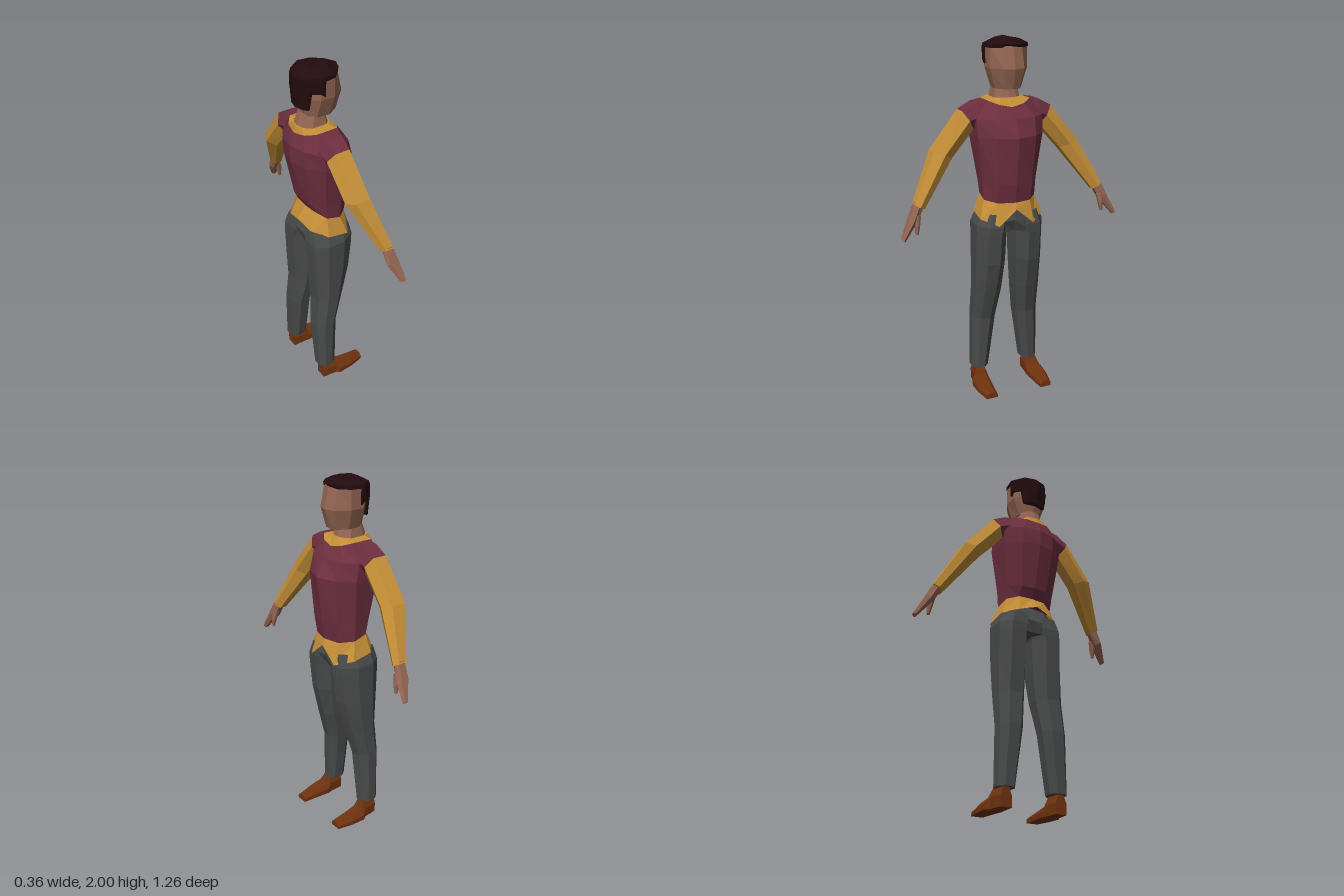
import * as THREE from 'three';

const mat = (name, color, side = THREE.FrontSide) => {
  const m = new THREE.MeshStandardMaterial({ color, flatShading: true, side });
  m.name = name;
  return m;
};

// Skin a list of equal-length rings; faces are turned outward by signed volume.
function loft(rings, caps = true) {
  const tris = [], n = rings[0].length;
  const mid = r => r.reduce((a, p) => a.map((v, i) => v + p[i] / n), [0, 0, 0]);
  for (let i = 0; i < rings.length - 1; i++) {
    for (let j = 0; j < n; j++) {
      const k = (j + 1) % n, a = rings[i], b = rings[i + 1];
      tris.push([a[j], a[k], b[k]], [a[j], b[k], b[j]]);
    }
  }
  const first = rings[0], last = rings[rings.length - 1], c0 = mid(first), c1 = mid(last);
  const capTris = [];
  for (let j = 0; j < n; j++) {
    const k = (j + 1) % n;
    capTris.push([c0, first[k], first[j]], [c1, last[j], last[k]]);
  }
  const V = p => new THREE.Vector3(...p);
  const volume = [...tris, ...capTris].reduce((s, t) => s + V(t[0]).dot(V(t[1]).cross(V(t[2]))), 0);
  const all = caps ? [...tris, ...capTris] : tris;
  const pos = all.flatMap(t => (volume < 0 ? [t[0], t[2], t[1]] : t)).flat();
  const g = new THREE.BufferGeometry();
  g.setAttribute('position', new THREE.Float32BufferAttribute(pos, 3));
  g.computeVertexNormals();
  return g;
}

// Symmetric ring from half an outline [x, z, ownY], front centre to back centre.
function halfRing(y, half) {
  const pts = half.map(([x, z, py]) => [x, py ?? y, z]);
  return [...pts, ...pts.slice(1, -1).reverse().map(([x, py, z]) => [x, py, -z])];
}

// Eight-sided horizontal leg section.
function legRing([y, x0, x1, z0, z1]) {
  const at = (u, v) => [x0 + (x1 - x0) * u, y, z0 + (z1 - z0) * v];
  return [at(0.3, 0), at(0.75, 0.05), at(1, 0.35), at(0.95, 0.75), at(0.65, 1), at(0.25, 1), at(0, 0.75), at(0, 0.25)];
}

// Six-sided arm section between an upper and a lower point [z, y].
function armRing([[tz, ty], [bz, by], x0, x1]) {
  const at = (u, v) => [x0 + (x1 - x0) * u, by + (ty - by) * v, bz + (tz - bz) * v];
  return [at(0.2, 1), at(0.8, 1), at(1, 0.5), at(0.75, 0), at(0.25, 0), at(0, 0.5)];
}

export function createModel() {
  const model = new THREE.Group();
  const skin = mat('skin', 0x936552);
  const hair = mat('hair', 0x220b0e);
  const vest = mat('maroon vest', 0x6e2f40);
  const shirt = mat('gold shirt', 0xc48e37, THREE.DoubleSide);
  const trousers = mat('dark grey trousers', 0x494a4a);
  const leather = mat('brown leather', 0x70330f);

  const add = (name, rings, material, caps) => {
    const mesh = new THREE.Mesh(loft(rings, caps), material);
    mesh.name = name;
    model.add(mesh);
  };
  const addPair = (name, rings, material) => {
    add('left' + name, rings.map(r => r.map(([x, y, z]) => [x, y, -z])), material);
    add('right' + name, rings, material);
  };

  // Torso: vest, shirt hem and collar
  const waist = halfRing(1.13, [[0.118, 0], [0.095, 0.095, 1.13], [0.03, 0.15, 1.14], [-0.05, 0.145, 1.16], [-0.085, 0.08, 1.18], [-0.092, 0, 1.18]]);
  const neckline = halfRing(1.65, [[0.07, 0, 1.64], [0.06, 0.07, 1.655], [0.025, 0.12, 1.675], [-0.1, 0.12, 1.675], [-0.14, 0.07, 1.66], [-0.155, 0, 1.65]]);
  add('vest', [
    waist,
    halfRing(1.235, [[0.135, 0], [0.11, 0.1], [0.03, 0.157], [-0.06, 0.152], [-0.11, 0.08], [-0.12, 0]]),
    halfRing(1.49, [[0.165, 0], [0.125, 0.115], [0.05, 0.187], [-0.09, 0.187], [-0.155, 0.1], [-0.178, 0]]),
    halfRing(1.585, [[0.115, 0], [0.095, 0.12], [0.035, 0.19], [-0.1, 0.19], [-0.16, 0.1], [-0.18, 0]]),
    neckline,
  ], vest);
  add('shirtHem', [
    waist,
    halfRing(1.05, [[0.133, 0, 1.095], [0.133, 0.1, 1.01], [0.06, 0.182, 1.04], [-0.06, 0.18, 1.06], [-0.125, 0.1, 1.08], [-0.142, 0, 1.11]]),
  ], shirt, false);
  add('collar', [
    neckline,
    halfRing(1.685, [[0.038, 0], [0.03, 0.05], [0.0, 0.08], [-0.09, 0.08], [-0.135, 0.05], [-0.145, 0]]),
  ], shirt);

  // Neck and head
  add('neck', [
    halfRing(1.67, [[0.035, 0], [0.025, 0.045], [0, 0.075], [-0.09, 0.075], [-0.13, 0.045], [-0.14, 0]]),
    halfRing(1.76, [[0.0, 0], [-0.005, 0.035], [-0.02, 0.06], [-0.07, 0.06], [-0.1, 0.035], [-0.105, 0]]),
  ], skin);
  add('head', [
    halfRing(1.735, [[0.078, 0], [0.07, 0.04], [0.01, 0.075], [-0.06, 0.07], [-0.1, 0.04], [-0.105, 0]]),
    halfRing(1.84, [[0.11, 0], [0.092, 0.058], [0.02, 0.105], [-0.06, 0.105], [-0.11, 0.06], [-0.125, 0]]),
    halfRing(1.955, [[0.085, 0], [0.068, 0.055], [0.02, 0.105], [-0.06, 0.11], [-0.11, 0.06], [-0.125, 0]]),
  ], skin);

  // Hair: crown, sides and nape
  add('hairCrown', [
    halfRing(1.945, [[0.075, 0], [0.069, 0.058], [0.02, 0.11], [-0.05, 0.121], [-0.128, 0.07], [-0.152, 0]]),
    halfRing(1.965, [[0.1, 0], [0.073, 0.058], [0.02, 0.108], [-0.05, 0.119], [-0.122, 0.068], [-0.14, 0]]),
    halfRing(2.0, [[0.03, 0, 1.995], [0.02, 0.035, 1.99], [0, 0.07, 1.985], [-0.045, 0.075, 1.985], [-0.08, 0.04, 1.99], [-0.06, 0]]),
  ], hair);
  add('hairSides', [
    halfRing(1.95, [[-0.04, 0], [-0.04, 0.116], [-0.06, 0.12], [-0.128, 0.07], [-0.152, 0]]),
    halfRing(1.88, [[-0.04, 0, 1.86], [-0.04, 0.115, 1.86], [-0.065, 0.115], [-0.13, 0.07], [-0.155, 0]]),
  ], hair);
  add('hairNape', [
    halfRing(1.9, [[-0.095, 0], [-0.1, 0.09], [-0.11, 0.09], [-0.13, 0.07], [-0.154, 0]]),
    halfRing(1.79, [[-0.095, 0], [-0.105, 0.07], [-0.115, 0.07], [-0.13, 0.055], [-0.145, 0]]),
  ], hair);

  // Arms: vest shoulder, sleeve, hand and thumb
  const shoulder = [[0.255, 1.625], [0.19, 1.525], -0.11, 0.03];
  addPair('Shoulder', [
    [[0.1, 1.677], [0.12, 1.53], -0.12, 0.045],
    [[0.18, 1.665], [0.15, 1.53], -0.115, 0.04],
    shoulder,
  ].map(armRing), vest);
  addPair('Sleeve', [
    shoulder,
    [[0.42, 1.42], [0.315, 1.385], -0.1, 0.04],
    [[0.55, 1.17], [0.495, 1.14], 0.012, 0.088],
  ].map(armRing), shirt);
  addPair('Hand', [
    [[0.545, 1.18], [0.5, 1.15], 0.025, 0.08],
    [[0.582, 1.1], [0.54, 1.08], 0.025, 0.1],
    [[0.632, 1.0], [0.615, 0.985], 0.075, 0.11],
  ].map(armRing), skin);
  addPair('Thumb', [
    [[0.555, 1.12], [0.52, 1.11], 0.055, 0.09],
    [[0.555, 1.06], [0.53, 1.06], 0.065, 0.1],
    [[0.555, 1.015], [0.54, 1.012], 0.08, 0.095],
  ].map(armRing), skin);

  // Trousers
  add('trouserSeat', [
    halfRing(0.965, [[0.09, 0], [0.115, 0.08], [0.04, 0.15], [-0.06, 0.15], [-0.12, 0.1], [-0.11, 0]]),
    halfRing(1.03, [[0.115, 0], [0.12, 0.08], [0.04, 0.165], [-0.06, 0.165], [-0.122, 0.09], [-0.125, 0]]),
    halfRing(1.12, [[0.112, 0], [0.09, 0.08], [0.02, 0.14], [-0.05, 0.135], [-0.08, 0.08], [-0.09, 0]]),
  ], trousers);
  addPair('TrouserLeg', [
    [1.07, -0.12, 0.115, 0.01, 0.165],
    [1.0, -0.132, 0.127, 0.005, 0.195],
    [0.95, -0.132, 0.123, 0.02, 0.195],
    [0.78, -0.125, 0.105, 0.025, 0.195],
    [0.6, -0.115, 0.06, 0.037, 0.196],
    [0.42, -0.13, 0.01, 0.06, 0.2],
    [0.1, -0.12, -0.005, 0.105, 0.205],
  ].map(legRing), trousers);

  // Shoes, as upright sections from heel to toe: [x, height, inner z, outer z]
  addPair('Shoe', [
    [-0.1, 0.105, 0.13, 0.195],
    [-0.015, 0.105, 0.125, 0.205],
    [0.005, 0.06, 0.12, 0.222],
    [0.09, 0.048, 0.128, 0.218],
    [0.18, 0.035, 0.135, 0.2],
  ].map(([x, h, a, b]) => [[x, 0, a], [x, 0, b], [x, h * 0.55, b], [x, h, b - 0.018], [x, h, a + 0.018], [x, h * 0.55, a]]), leather);

  return model;
}
